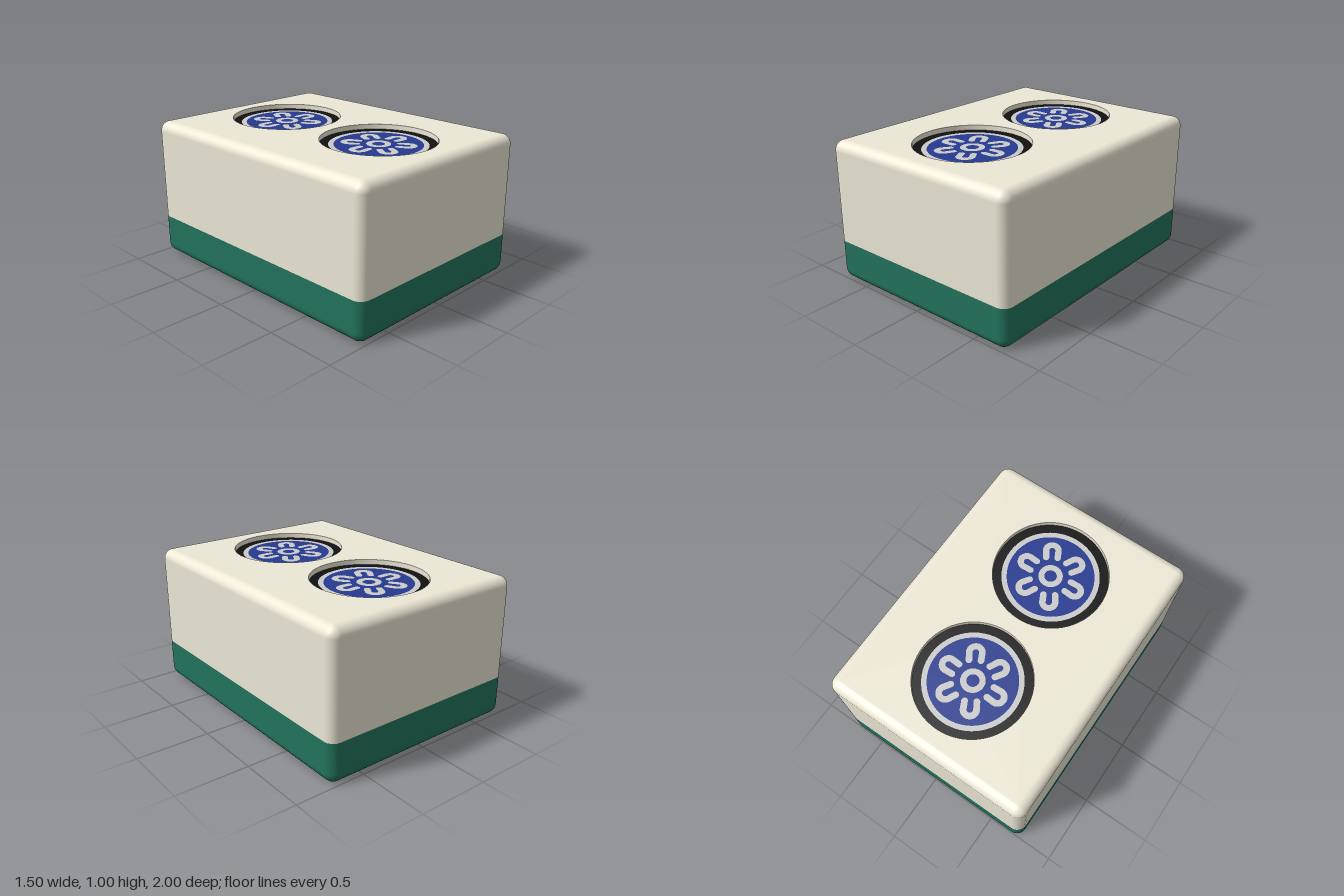
import * as THREE from 'three';

const HX = 0.75, HZ = 1, H = 1, R = 0.07;   // half width, half length, height, edge radius
const SPLIT = 0.285;                        // height where the two layers meet
const DEPTH = 0.035, WELL = 0.39, WELL_Z = 0.447;

const cream = new THREE.MeshStandardMaterial({ color: 0xede8d6 });
const green = new THREE.MeshStandardMaterial({ color: 0x22735c });
const black = new THREE.MeshStandardMaterial({ color: 0x111111 });
const blue = new THREE.MeshStandardMaterial({ color: 0x253a90 });
const grey = new THREE.MeshStandardMaterial({ color: 0xcccccc });
const creamInside = cream.clone();
creamInside.side = THREE.BackSide;

function add(parent, name, geometry, material, y = 0) {
  const mesh = new THREE.Mesh(geometry, material);
  mesh.name = name;
  mesh.position.y = y;
  parent.add(mesh);
  return mesh;
}

// Rounded side wall lofted through rows of { y, tilt }, tilt being the angle of the normal
function sideWall(rows) {
  const pos = [], norm = [], index = [], seg = 8, cols = 4 * (seg + 1);
  for (const { y, tilt } of rows) {
    for (let c = 0; c < 4; c++) {
      const sx = c === 0 || c === 3 ? 1 : -1, sz = c < 2 ? 1 : -1;
      for (let i = 0; i <= seg; i++) {
        const a = (c + i / seg) * Math.PI / 2;
        const nx = Math.cos(a) * Math.cos(tilt), nz = Math.sin(a) * Math.cos(tilt);
        pos.push(sx * (HX - R) + R * nx, y, sz * (HZ - R) + R * nz);
        norm.push(nx, Math.sin(tilt), nz);
      }
    }
  }
  for (let r = 0; r < rows.length - 1; r++) {
    for (let c = 0; c < cols; c++) {
      const a = r * cols + c, b = r * cols + (c + 1) % cols;
      index.push(a, a + cols, b, b, a + cols, b + cols);
    }
  }
  const g = new THREE.BufferGeometry();
  g.setAttribute('position', new THREE.Float32BufferAttribute(pos, 3));
  g.setAttribute('normal', new THREE.Float32BufferAttribute(norm, 3));
  g.setIndex(index);
  return g;
}

// Flat end face inside the rounded edges
function faceShape() {
  const x = HX - R, z = HZ - R;
  return new THREE.Shape([[-x, -z], [x, -z], [x, z], [-x, z]].map(p => new THREE.Vector2(...p)));
}

// Horseshoe petal opening towards the flower's centre
function petalShape() {
  const c = 0.191, outer = 0.064, inner = 0.021, end = 0.137, mid = 0.039;
  const half = (outer - inner) / 2, q = Math.PI / 2;
  const s = new THREE.Shape();
  s.absarc(c, 0, outer, -q, q, false);
  s.absarc(end, mid, half, q, 3 * q, false);
  s.absarc(c, 0, inner, q, -q, true);
  s.absarc(end, -mid, half, q, 3 * q, false);
  return s;
}

// Sunken round emblem
function createEmblem() {
  const g = new THREE.Group();
  g.name = 'emblem';
  const flat = geo => geo.rotateX(-Math.PI / 2);
  const floor = H - DEPTH;
  add(g, 'recessWall', new THREE.CylinderGeometry(WELL, WELL, DEPTH, 64, 1, true), creamInside, H - DEPTH / 2);
  add(g, 'outerRing', flat(new THREE.RingGeometry(0.33, WELL, 64)), black, floor);
  add(g, 'paleRing', flat(new THREE.RingGeometry(0.295, 0.33, 64)), grey, floor);
  add(g, 'disc', flat(new THREE.CircleGeometry(0.295, 64)), blue, floor);
  add(g, 'flowerCentre', flat(new THREE.RingGeometry(0.042, 0.082, 40)), grey, floor + 0.002);
  const petal = flat(new THREE.ShapeGeometry(petalShape(), 16));
  for (let i = 0; i < 6; i++) {
    add(g, 'petal', petal, grey, floor + 0.002).rotation.y = i * Math.PI / 3;
  }
  return g;
}

export function createModel() {
  const model = new THREE.Group();
  model.name = 'tile';

  // Rounded edge rows for the lower and upper layers
  const lower = [], upper = [{ y: SPLIT, tilt: 0 }];
  for (let i = 0; i <= 8; i++) {
    const t = i / 8 * Math.PI / 2;
    lower.push({ y: R - R * Math.cos(t), tilt: t - Math.PI / 2 });
    upper.push({ y: H - R + R * Math.sin(t), tilt: t });
  }
  lower.push({ y: SPLIT, tilt: 0 });

  add(model, 'backLayer', sideWall(lower), green);
  add(model, 'backFace', new THREE.ShapeGeometry(faceShape()).rotateX(Math.PI / 2), green);
  add(model, 'bodyLayer', sideWall(upper), cream);

  // Top face with two round openings
  const top = faceShape();
  for (const z of [-WELL_Z, WELL_Z]) {
    top.holes.push(new THREE.Path().absarc(0, -z, WELL, 0, Math.PI * 2, true));
    const emblem = createEmblem();
    emblem.position.z = z;
    model.add(emblem);
  }
  add(model, 'topFace', new THREE.ShapeGeometry(top, 32).rotateX(-Math.PI / 2), cream, H);
  return model;
}
